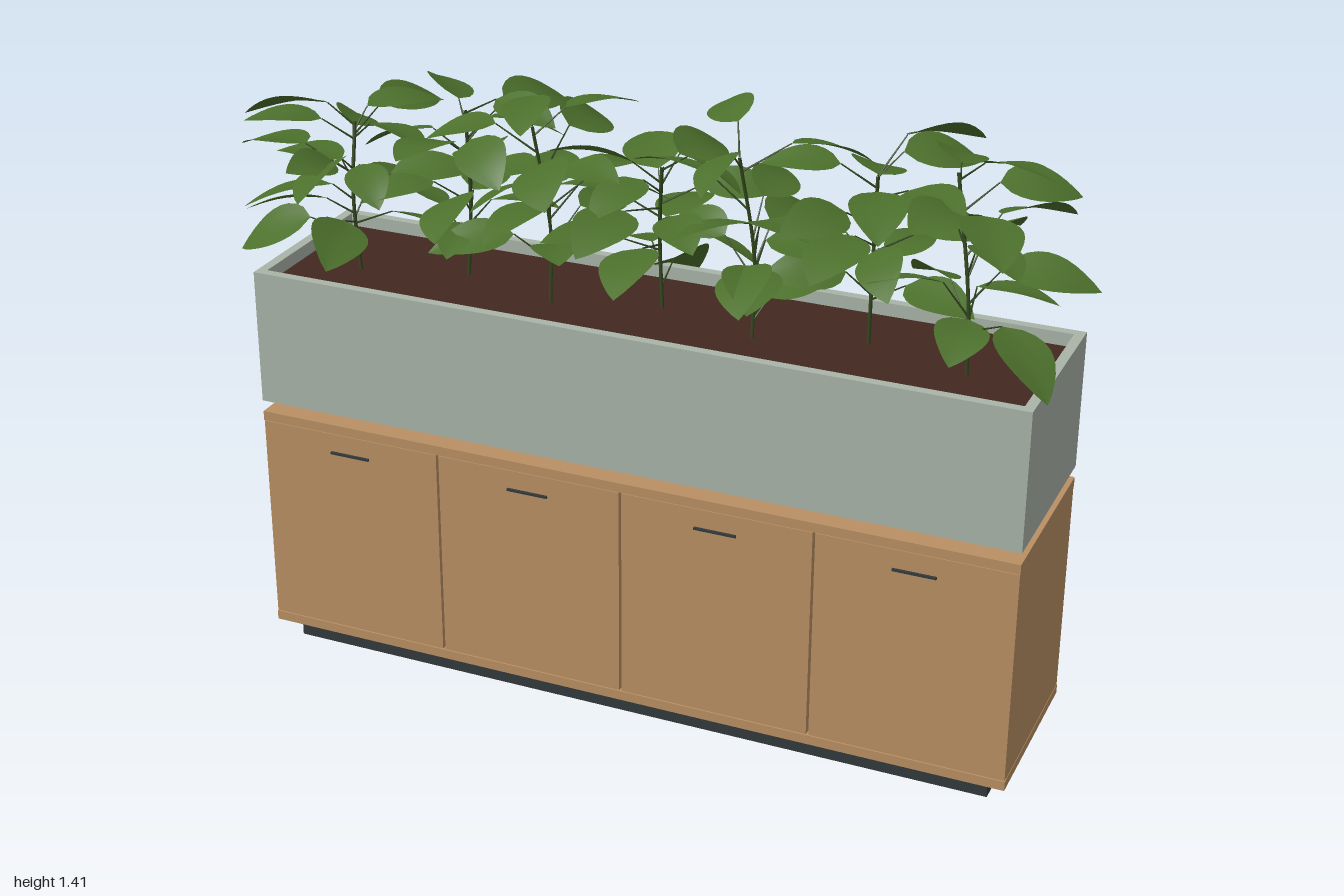
import * as THREE from 'three';

const mat = (name, color, side = THREE.FrontSide) => {
  const m = new THREE.MeshStandardMaterial({ color, side });
  m.name = name;
  return m;
};

export function createModel() {
  const root = new THREE.Group();
  root.name = 'planterCabinet';
  const wood = mat('wood', 0xb98f63);
  const concrete = mat('greyConcrete', 0xa9b4a8);
  const dark = mat('darkMetal', 0x333a3b);
  const soilMat = mat('soil', 0x422820);
  const leafMat = mat('leafGreen', 0x4c702c, THREE.DoubleSide);
  const stemMat = mat('stemGreen', 0x34491f);

  // Cabinet and planter share one footprint
  const X0 = -0.832, X1 = 0.935, Z0 = -0.22, Z1 = 0.2;
  const CX = (X0 + X1) / 2, CZ = (Z0 + Z1) / 2, W = X1 - X0, D = Z1 - Z0;

  const box = (name, material, x0, x1, y0, y1, z0, z1) => {
    const m = new THREE.Mesh(new THREE.BoxGeometry(x1 - x0, y1 - y0, z1 - z0), material);
    m.position.set((x0 + x1) / 2, (y0 + y1) / 2, (z0 + z1) / 2);
    m.name = name;
    root.add(m);
  };

  // Cabinet carcass
  box('plinth', dark, X0 + 0.045, X1 - 0.045, 0, 0.05, Z0 + 0.035, Z1 - 0.035);
  box('bottomBoard', wood, X0, X1, 0.05, 0.072, Z0, Z1);
  box('topBoard', wood, X0, X1, 0.572, 0.594, Z0, Z1);
  box('rightSide', wood, X0 + 0.001, X0 + 0.02, 0.072, 0.572, Z0, Z1 - 0.018);
  box('leftSide', wood, X1 - 0.02, X1 - 0.001, 0.072, 0.572, Z0, Z1 - 0.018);
  box('backPanel', wood, X0 + 0.02, X1 - 0.02, 0.072, 0.572, Z0 + 0.004, Z0 + 0.014);
  box('doorBacking', wood, X0 + 0.02, X1 - 0.02, 0.072, 0.572, Z1 - 0.03, Z1 - 0.018);

  // Four doors with slim pulls
  const doorW = W / 4;
  for (let i = 0; i < 4; i++) {
    const a = X0 + i * doorW, mid = a + doorW / 2;
    box('door', wood, a + (i ? 0.003 : 0.001), a + doorW - (i < 3 ? 0.003 : 0.001), 0.074, 0.57, Z1 - 0.018, Z1 - 0.001);
    box('doorPull', dark, mid - 0.048, mid + 0.048, 0.522, 0.527, Z1 - 0.001, Z1 + 0.005);
  }

  // Feet between cabinet and planter
  for (const x of [-0.665, 0.768]) {
    for (const z of [0.125, -0.14]) {
      const foot = new THREE.Mesh(new THREE.CylinderGeometry(0.016, 0.02, 0.03, 16), dark);
      foot.position.set(x, 0.608, z);
      foot.name = 'planterFoot';
      root.add(foot);
    }
  }

  // Planter trough: rectangular ring, floor and soil
  const rect = (T, w, d) => {
    const s = new T();
    s.moveTo(-w / 2, -d / 2).lineTo(w / 2, -d / 2).lineTo(w / 2, d / 2).lineTo(-w / 2, d / 2).closePath();
    return s;
  };
  const ring = rect(THREE.Shape, W, D);
  ring.holes.push(rect(THREE.Path, W - 0.044, D - 0.044));
  const walls = new THREE.Mesh(
    new THREE.ExtrudeGeometry(ring, { depth: 0.314, bevelEnabled: false }).rotateX(-Math.PI / 2), concrete);
  walls.position.set(CX, 0.621, CZ);
  walls.name = 'planterWalls';
  root.add(walls);
  box('planterFloor', concrete, X0 + 0.02, X1 - 0.02, 0.621, 0.65, Z0 + 0.02, Z1 - 0.02);
  box('soil', soilMat, X0 + 0.02, X1 - 0.02, 0.65, 0.905, Z0 + 0.02, Z1 - 0.02);

  // Unit leaf along +z: pointed oval, gently arched, creased along the midrib
  const leafGeo = new THREE.PlaneGeometry(1, 1, 4, 10).rotateX(-Math.PI / 2);
  const p = leafGeo.attributes.position;
  for (let i = 0; i < p.count; i++) {
    const t = p.getZ(i) + 0.5, side = p.getX(i) * 2;
    const half = 0.31 * Math.pow(Math.sin(Math.PI * Math.pow(t, 0.75)), 0.85) || 0;
    p.setXYZ(i, side * half, 0.07 * Math.sin(Math.PI * t) + 0.1 * Math.abs(side) * half, t);
  }
  leafGeo.computeVertexNormals();

  let seed = 11;
  const rnd = (a = 0, b = 1) => {
    seed = (seed * 16807) % 2147483647;
    return a + (b - a) * seed / 2147483647;
  };

  // Seven thin leaning stems of different heights
  const plants = [1.24, 1.29, 1.31, 1.24, 1.31, 1.27, 1.33].map((top, i) => {
    const x = -0.66 + i * 0.235, z = i % 2 ? -0.045 : 0.025;
    const group = new THREE.Group();
    group.name = 'plant';
    const curve = new THREE.CatmullRomCurve3([
      new THREE.Vector3(x, 0.9, z),
      new THREE.Vector3(x + rnd(-0.012, 0.012), 1.08, z + rnd(-0.015, 0.015)),
      new THREE.Vector3(x + rnd(-0.05, 0.05), top, z + rnd(-0.04, 0.04)),
    ]);
    const stem = new THREE.Mesh(new THREE.TubeGeometry(curve, 12, 0.004, 6), stemMat);
    stem.name = 'stem';
    group.add(stem);
    root.add(group);
    return { x, z, top, curve, group };
  });

  const UP = new THREE.Vector3(0, 1, 0);
  // A leaf reaching from its stem to a tip, with a thin stalk
  const addLeaf = (plant, tip, length, drop) => {
    const node = plant.curve.getPoint(THREE.MathUtils.clamp((tip.y + drop - 0.95) / (plant.top - 0.9), 0.12, 1));
    const dir = new THREE.Vector3(tip.x - node.x, 0, tip.z - node.z).normalize();
    dir.y = -drop / length;
    dir.normalize();
    const base = tip.clone().addScaledVector(dir, -length);
    const leaf = new THREE.Mesh(leafGeo, leafMat);
    leaf.position.copy(base);
    leaf.lookAt(tip);
    leaf.rotateZ(rnd(-0.5, 0.5));
    leaf.scale.set(length * rnd(0.92, 1.1), length, length);
    leaf.name = 'leaf';
    const span = base.clone().sub(node);
    const stalk = new THREE.Mesh(new THREE.CylinderGeometry(0.0015, 0.0025, span.length(), 5), stemMat);
    stalk.position.copy(node).addScaledVector(span, 0.5);
    stalk.quaternion.setFromUnitVectors(UP, span.normalize());
    stalk.name = 'leafStalk';
    plant.group.add(leaf, stalk);
  };

  // Outermost leaves: plant number, then tip position
  const outer = [
    [0, -1, 1.13, -0.05], [0, -0.95, 0.92, 0.06], [0, -0.93, 1.24, 0.04], [0, -0.58, 1.02, 0.31],
    [0, -0.67, 1.14, 0.26], [0, -0.61, 1.22, -0.28], [0, -0.87, 1.07, 0.16], [1, -0.33, 1.24, -0.35],
    [1, -0.48, 1.12, -0.29], [1, -0.37, 1.08, 0.21], [2, -0.22, 1.22, -0.32], [2, -0.1, 1.13, -0.3],
    [2, -0.25, 1.1, 0.22], [2, -0.1, 1.2, 0.23], [3, 0, 1.14, 0.3], [3, 0.02, 0.89, -0.31],
    [3, 0.08, 1.2, -0.3], [3, 0.07, 1.05, 0.27], [4, 0.34, 1.05, 0.26], [4, 0.33, 1.1, -0.24],
    [5, 0.48, 1.14, 0.24], [5, 0.62, 1.25, 0.25], [5, 0.68, 1.31, -0.27], [6, 1, 1.11, -0.03],
    [6, 0.97, 0.97, 0.23], [6, 0.89, 1.27, 0.33], [6, 0.9, 1.2, -0.2],
  ];
  for (const [i, x, y, z] of outer) addLeaf(plants[i], new THREE.Vector3(x, y, z), 0.2, y < 1 ? 0.11 : 0.04);

  // Inner leaves spiral up each stem, spreading furthest along the trough
  plants.forEach((plant, i) => {
    for (let k = 0; k < 11; k++) {
      const a = k * 2.4 + i * 1.3, y = 1.02 + k * (plant.top - 0.99) / 10 + rnd(-0.025, 0.025);
      const reach = rnd(0.18, 0.25);
      const tip = new THREE.Vector3(
        THREE.MathUtils.clamp(plant.x + Math.cos(a) * reach * 1.15, -0.92, 0.93), y,
        plant.z * 0.5 + Math.sin(a) * reach);
      addLeaf(plant, tip, rnd(0.15, 0.2), rnd(-0.02, 0.06));
    }
  });
  return root;
}
